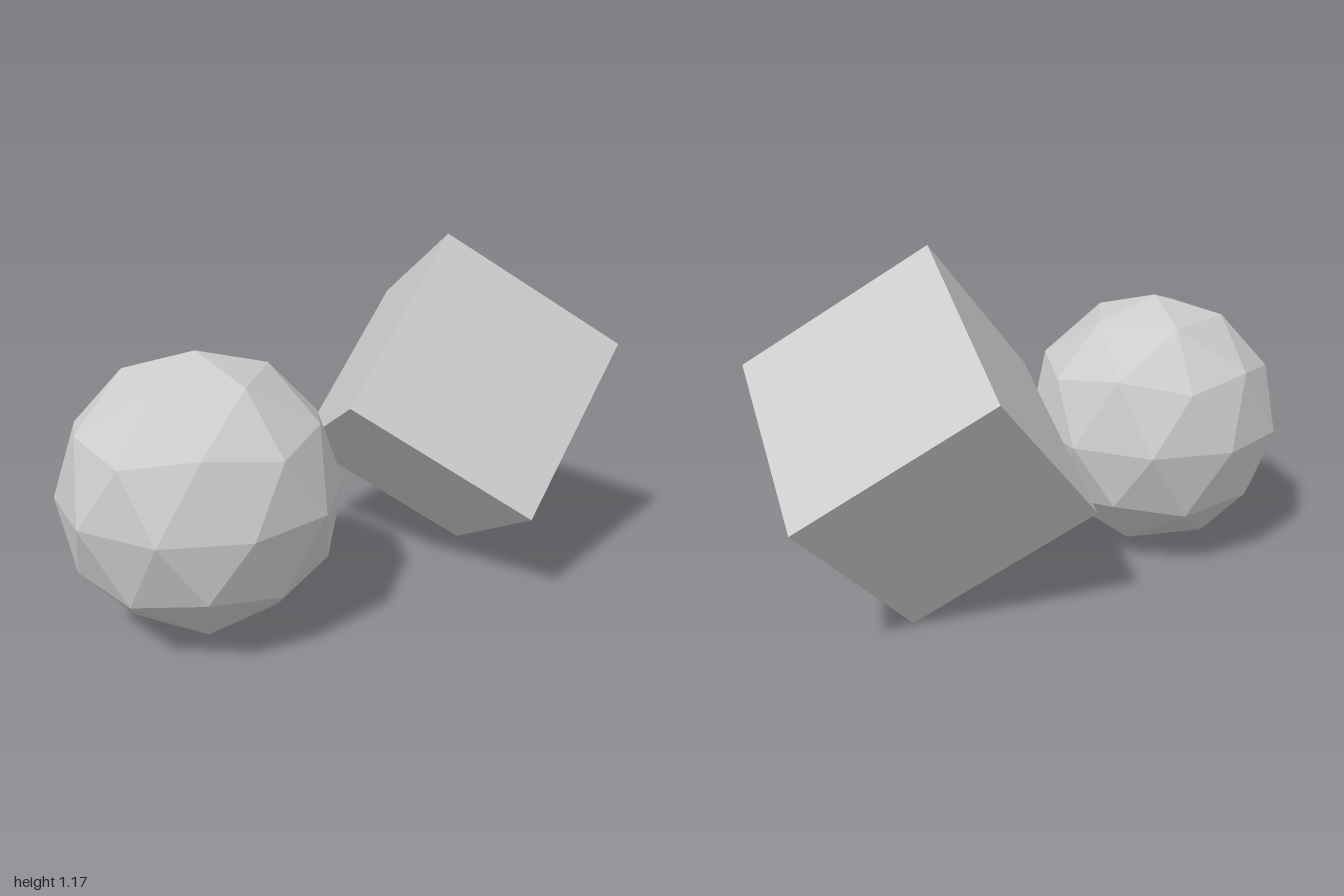
import * as THREE from 'three';

export function createModel() {
  const model = new THREE.Group();
  const grey = new THREE.MeshStandardMaterial({ color: 0xcccccc, flatShading: true });
  grey.name = 'light grey';

  // Faceted ball: icosphere turned so a vertex points straight up
  // and an upper-ring vertex points to +x
  const t = (1 + Math.sqrt(5)) / 2;
  const toUpright = new THREE.Matrix4().makeBasis(
    new THREE.Vector3(0, -t, 1).normalize(),
    new THREE.Vector3(0, 1, t).normalize(),
    new THREE.Vector3(-1, 0, 0)
  ).transpose();
  const ballGeometry = new THREE.IcosahedronGeometry(0.448, 1).applyMatrix4(toUpright);
  const ball = new THREE.Mesh(ballGeometry, grey);
  ball.name = 'facetedBall';
  ball.position.set(-0.137, 0.459, 0.55);
  model.add(ball);

  // Tilted cube: oriented by its edge directions
  const xEdge = new THREE.Vector3(0.425, -0.37, -0.397).normalize();
  const zEdge = new THREE.Vector3(-0.541, -0.323, -0.28).cross(xEdge).normalize();
  const yEdge = new THREE.Vector3().crossVectors(zEdge, xEdge);
  const cube = new THREE.Mesh(new THREE.BoxGeometry(0.688, 0.688, 0.688), grey);
  cube.name = 'tiltedCube';
  cube.quaternion.setFromRotationMatrix(new THREE.Matrix4().makeBasis(xEdge, yEdge, zEdge));
  cube.position.set(0.058, 0.591, -0.418);
  model.add(cube);

  return model;
}
